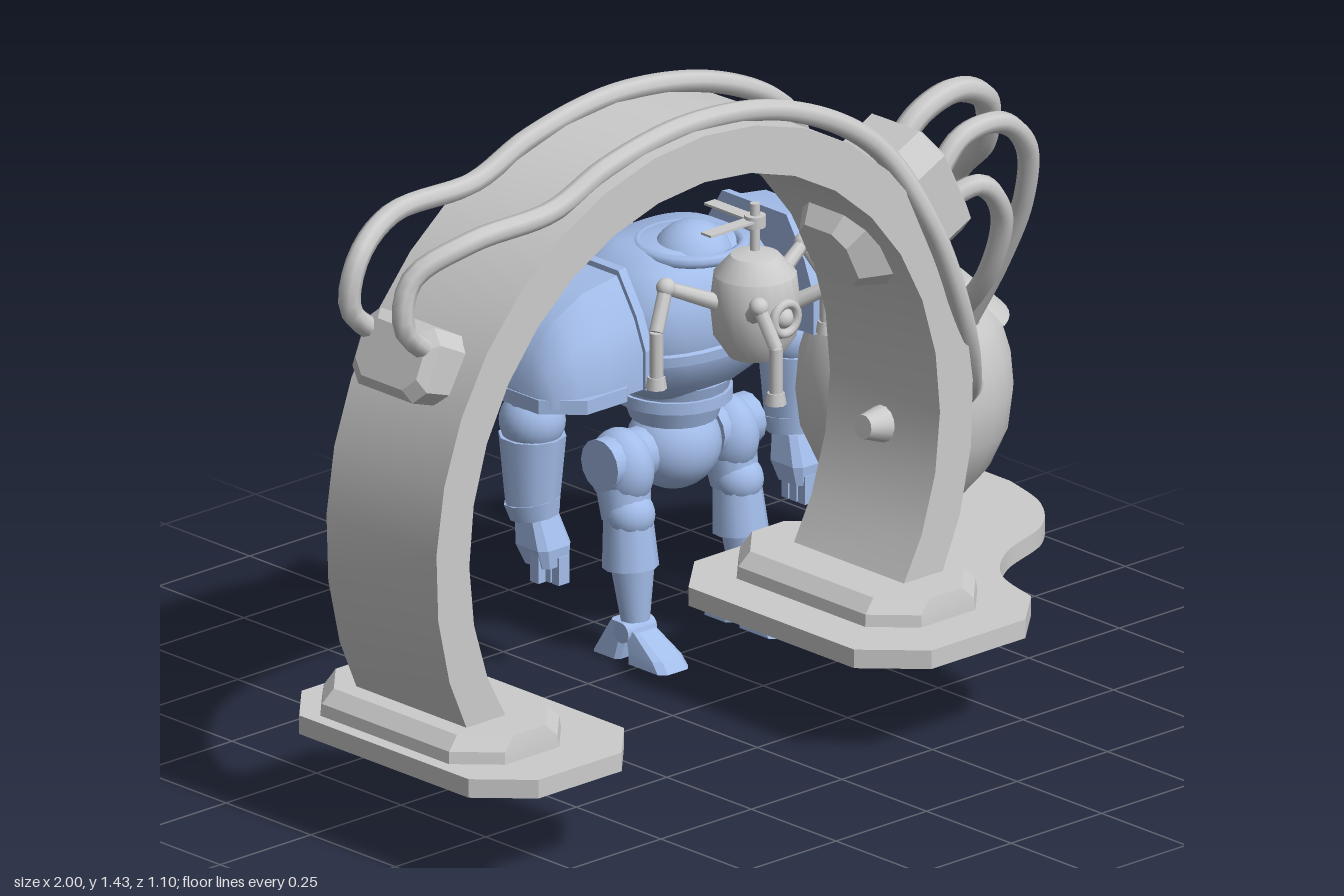
import * as THREE from 'three';
import { toCreasedNormals } from 'three/addons/utils/BufferGeometryUtils.js';

const grey = new THREE.MeshStandardMaterial({ color: 0xcccccc, side: THREE.DoubleSide });
const blue = new THREE.MeshStandardMaterial({ color: 0xa3bdea, side: THREE.DoubleSide });
const V = (p) => new THREE.Vector3(...p);

function add(parent, name, geometry, material = grey, pos = [0, 0, 0], scale = [1, 1, 1]) {
  const mesh = new THREE.Mesh(geometry, material);
  mesh.name = name;
  mesh.position.set(...pos);
  mesh.scale.set(...scale);
  parent.add(mesh);
  return mesh;
}

function group(parent, name) {
  const g = new THREE.Group();
  g.name = name;
  parent.add(g);
  return g;
}

// Skin closed rings of points and cap both ends
function loft(rings, crease = 0.3) {
  const n = rings[0].length, index = [];
  for (let r = 0; r < rings.length - 1; r++)
    for (let i = 0; i < n; i++) {
      const a = r * n + i, b = r * n + (i + 1) % n;
      index.push(a, b, b + n, a, b + n, a + n);
    }
  const e = (rings.length - 1) * n;
  for (let i = 1; i < n - 1; i++) index.push(0, i + 1, i, e, e + i, e + i + 1);
  const g = new THREE.BufferGeometry();
  g.setAttribute('position', new THREE.Float32BufferAttribute(rings.flat(2), 3));
  g.setIndex(index);
  return toCreasedNormals(g, crease);
}

// Rectangle with cut corners at height y
function cutRect(w, d, c, y, x = 0, z = 0) {
  return [[c - w, d], [w - c, d], [w, d - c], [w, c - d], [w - c, -d], [c - w, -d], [-w, c - d], [-w, d - c]]
    .map(([px, pz]) => [px + x, y, pz + z]);
}

// Tapered round bar between two points
function bar(parent, name, a, b, r1, r2 = r1, material = grey, sides = 14) {
  const p = V(a), q = V(b), d = q.clone().sub(p);
  const m = add(parent, name, new THREE.CylinderGeometry(r2, r1, d.length(), sides), material);
  m.position.copy(p).add(q).multiplyScalar(0.5);
  m.quaternion.setFromUnitVectors(new THREE.Vector3(0, 1, 0), d.normalize());
  return m;
}

function ball(parent, name, pos, r, material = grey) {
  const s = Array.isArray(r) ? r : [r, r, r];
  return add(parent, name, new THREE.SphereGeometry(1, 24, 16), material, pos, s);
}

function pipe(parent, name, points, r = 0.023) {
  const curve = new THREE.CatmullRomCurve3(points.map(V));
  return add(parent, name, new THREE.TubeGeometry(curve, points.length * 6, r, 8));
}

const latheRaw = (pts, n) => new THREE.LatheGeometry(pts.map((p) => new THREE.Vector2(...p)), n);

function buildArch(root) {
  const g = group(root, 'arch');
  const cx = -0.225, cy = 0.64, N = 22;
  const shape = new THREE.Shape();
  // Both edges start and end on the same level
  for (let k = 0; k < 2 * N + 2; k++) {
    const outer = k <= N, t = outer ? k / N : (2 * N + 1 - k) / N;
    const lo = outer ? -0.508 : -0.595, a = lo + (Math.PI - 2 * lo) * t;
    const x = cx + (outer ? 0.742 : 0.65) * Math.cos(a), y = cy + (outer ? 0.76 : 0.66) * Math.sin(a);
    k ? shape.lineTo(x, y) : shape.moveTo(x, y);
  }
  const band = new THREE.ExtrudeGeometry(shape, { depth: 0.325, bevelEnabled: false });
  add(g, 'archBand', toCreasedNormals(band, 0.4), grey, [0, 0, 0.01]);

  // Fittings that point along a radius of the arch
  const at = (a, r) => [cx + r * Math.cos(a), cy + r * Math.sin(a), 0.17];
  for (const a of [-0.11, Math.PI + 0.11])
    bar(g, 'innerKnob', at(a, 0.66), at(a, 0.595), 0.042, 0.025);
  bar(g, 'topLamp', at(Math.PI / 2, 0.67), at(Math.PI / 2, 0.6), 0.12, 0.06, grey, 8);
  bar(g, 'leftLamp', [-0.79, 1.02, 0.17], [-0.7, 1.04, 0.17], 0.06, 0.04);
  const box = add(g, 'leftPipeBox', loft([cutRect(0.07, 0.11, 0.03, -0.1), cutRect(0.08, 0.11, 0.03, 0.04),
    cutRect(0.06, 0.09, 0.03, 0.06)]), grey, [-0.885, 1.045, 0.17]);
  box.rotation.z = 2.75 - Math.PI / 2;
  const pod = add(g, 'rightPipePod', loft([cutRect(0.07, 0.07, 0.03, -0.18), cutRect(0.135, 0.12, 0.05, -0.08),
    cutRect(0.135, 0.12, 0.05, 0.09), cutRect(0.115, 0.1, 0.045, 0.105)]), grey, [0.43, 1.05, 0.175]);
  pod.rotation.z = 0.45 - Math.PI / 2;
}

// Flat plate from an outline in x and -z, with a slot under the arch foot
function plate(parent, name, shape, slotX) {
  const slot = cutRect(0.12, 0.22, 0.05, 0, slotX, 0.17).map(([x, , z]) => new THREE.Vector2(x, -z));
  shape.holes.push(new THREE.Path(slot));
  const g = new THREE.ExtrudeGeometry(shape, { depth: 0.04, bevelEnabled: false, curveSegments: 16 });
  add(parent, name, toCreasedNormals(g.rotateX(-Math.PI / 2), 0.4), grey, [0, 0.2, 0]);
}

function buildBases(root) {
  const g = group(root, 'bases');
  const left = cutRect(0.215, 0.35, 0.1, 0, -0.77, 0.2).map(([x, , z]) => new THREE.Vector2(x, -z));
  plate(g, 'leftPlate', new THREE.Shape(left), -0.8);
  // Wide plate that wraps under the tank
  const shape = new THREE.Shape();
  shape.moveTo(0.2, -0.55);
  shape.lineTo(0.46, -0.55);
  shape.lineTo(0.56, -0.46);
  shape.splineThru([[0.6, -0.33], [0.7, -0.24], [0.85, -0.18], [0.94, -0.08], [0.98, 0.05]]
    .map((p) => new THREE.Vector2(...p)));
  for (const p of [[0.98, 0.16], [0.9, 0.27], [0.8, 0.29], [0.66, 0.29], [0.55, 0.15], [0.2, 0.15], [0.09, 0.05], [0.09, -0.44]])
    shape.lineTo(...p);
  plate(g, 'rightPlate', shape, 0.35);
  for (const x of [-0.8, 0.35])
    add(g, 'archFoot', loft([cutRect(0.155, 0.27, 0.08, 0.24), cutRect(0.152, 0.268, 0.08, 0.265),
      cutRect(0.125, 0.262, 0.08, 0.293)]), grey, [x, 0, 0.17]);
}

function buildTank(root) {
  const g = group(root, 'tank');
  g.position.set(0.78, 0, -0.15);
  add(g, 'tankBody', toCreasedNormals(latheRaw([[0, 0.24], [0.115, 0.24], [0.175, 0.31], [0.211, 0.39], [0.221, 0.47],
    [0.215, 0.54], [0.192, 0.62], [0.15, 0.675], [0.09, 0.7], [0, 0.71]], 28), 0.5));
  add(g, 'tankLid', new THREE.CylinderGeometry(0.12, 0.205, 0.08, 16, 1, false, 0.5, 2.4), grey, [0.01, 0.66, 0]);
  for (const [x, z] of [[0.04, 0], [-0.03, 0.14], [0.03, 0.14], [-0.08, 0.02]])
    bar(g, 'pipeSocket', [x, 0.62, z], [x, 0.74 - z * 0.55, z], 0.037, 0.034);
  bar(g, 'sideSocket', [-0.03, 0.55, 0.17], [-0.06, 0.55, 0.25], 0.04, 0.036);
}

function buildPipes(root) {
  const g = group(root, 'pipes');
  // Two long pipes over the arch
  const run = [[-0.9, 1.08], [-0.97, 1.15], [-0.95, 1.25], [-0.83, 1.31], [-0.6, 1.32], [-0.45, 1.375], [-0.22, 1.41], [0.05, 1.37]];
  const lane = (z, dz) => run.map(([x, y], i) => [x, y, i > 2 ? z : z + dz]);
  pipe(g, 'backPipe', [...lane(0.055, 0.03), [0.28, 1.25, 0.03], [0.4, 1.08, -0.03], [0.5, 0.93, -0.08], [0.6, 0.8, -0.11], [0.7, 0.68, -0.13]]);
  pipe(g, 'frontPipe', [...lane(0.285, -0.04), [0.28, 1.24, 0.3], [0.4, 1.04, 0.34], [0.5, 0.8, 0.33], [0.59, 0.64, 0.25], [0.66, 0.57, 0.16], [0.74, 0.55, 0.06]]);
  // Short pipes from the pod to the tank
  pipe(g, 'podPipe', [[0.48, 1.12, 0.13], [0.56, 1.19, 0.13], [0.67, 1.21, 0.12], [0.77, 1.16, 0.1], [0.82, 1.04, 0.04], [0.83, 0.95, -0.05], [0.82, 0.82, -0.11], [0.82, 0.68, -0.14]], 0.027);
  pipe(g, 'podPipe', [[0.5, 1.08, 0.23], [0.58, 1.16, 0.23], [0.7, 1.16, 0.22], [0.79, 1.08, 0.2], [0.82, 0.95, 0.16], [0.82, 0.8, 0.09], [0.81, 0.64, 0]]);
  pipe(g, 'podPipe', [[0.5, 1.0, 0.17], [0.58, 1.01, 0.18], [0.66, 1.03, 0.2], [0.73, 0.95, 0.19], [0.75, 0.8, 0.13], [0.75, 0.64, 0]]);
}

function buildDrone(root) {
  const g = group(root, 'drone');
  g.position.set(0.33, 0, -0.11);
  add(g, 'droneBody', toCreasedNormals(latheRaw([[0, 0.66], [0.055, 0.665], [0.085, 0.71], [0.092, 0.78], [0.085, 0.84],
    [0.05, 0.88], [0, 0.892]], 20), 0.6));
  add(g, 'dialRim', new THREE.TorusGeometry(0.032, 0.01, 8, 20), grey, [0, 0.765, 0.09]);
  ball(g, 'dial', [0, 0.765, 0.082], 0.022);
  bar(g, 'rotorMast', [0, 0.88, 0], [0, 0.99, 0], 0.01);
  bar(g, 'rotorHub', [0, 0.94, 0], [0, 0.965, 0], 0.022);
  add(g, 'rotorBlade', new THREE.BoxGeometry(0.13, 0.005, 0.03), grey, [-0.07, 0.955, 0]);
  add(g, 'rotorBlade', new THREE.BoxGeometry(0.03, 0.005, 0.13), grey, [0, 0.955, -0.07]);
  // Four bent arms
  for (const s of [-1, 1])
    for (const [ex, ez, tx, tz] of [[0.13, 0.15, 0.12, 0.19], [0.19, -0.06, 0.235, -0.04]]) {
      const elbow = [s * ex, 0.84, ez], drop = [s * tx, 0.76, tz], tip = [s * tx, 0.65, tz];
      bar(g, 'droneArm', [s * 0.06, 0.78, ez * 0.4], elbow, 0.018, 0.014, grey, 8);
      ball(g, 'droneElbow', elbow, 0.02);
      bar(g, 'droneForearm', elbow, drop, 0.015, 0.015, grey, 8);
      bar(g, 'droneWrist', drop, tip, 0.014, 0.014, grey, 8);
      bar(g, 'droneClaw', [tip[0], 0.64, tz], [tip[0], 0.665, tz], 0.022, 0.018, grey, 8);
    }
}

// Arched shoulder section at distance x
const padRing = (x, w, top, base = 0.63) =>
  [[-0.54, top], [0.54, top], [0.84, top * 0.65 + base * 0.35], [1, top * 0.35 + base * 0.65], [1, base], [-1, base],
    [-1, top * 0.35 + base * 0.65], [-0.84, top * 0.65 + base * 0.35]].map(([z, y]) => [x, y, z * w]);

// Turned body pushed out toward a rounded rectangle
function squareLathe(pts, depth) {
  const geo = latheRaw(pts, 36), p = geo.attributes.position;
  for (let i = 0; i < p.count; i++) {
    const x = p.getX(i), z = p.getZ(i), r = Math.hypot(x, z) || 1;
    const k = (Math.abs(x / r) ** 2.7 + Math.abs(z / r) ** 2.7 || 1) ** (-1 / 2.7);
    p.setXYZ(i, x * k, p.getY(i), z * k * depth);
  }
  return toCreasedNormals(geo, 0.7);
}

function buildRobot(root) {
  const g = group(root, 'robot');
  g.position.set(0.33, 0, -0.35);
  add(g, 'torso', squareLathe([[0, 0.54], [0.11, 0.54], [0.17, 0.585], [0.205, 0.64], [0.218, 0.71], [0.212, 0.77],
    [0.175, 0.83], [0.12, 0.86], [0, 0.865]], 0.82), blue);
  add(g, 'chestBand', squareLathe([[0.2, 0.645], [0.215, 0.648], [0.218, 0.67], [0.2, 0.675]], 0.84), blue);
  const collar = add(g, 'collar', new THREE.TorusGeometry(0.108, 0.014, 8, 24), blue, [0, 0.85, 0.05]);
  collar.rotation.x = Math.PI / 2;
  ball(g, 'headDome', [0, 0.81, 0.055], [0.088, 0.092, 0.088], blue);
  bar(g, 'exhaust', [0, 0.74, -0.08], [0, 0.82, -0.18], 0.046, 0.04, blue);
  bar(g, 'waist', [0, 0.47, 0], [0, 0.56, 0], 0.09, 0.12, blue, 20);
  bar(g, 'belt', [0, 0.51, 0], [0, 0.535, 0], 0.12, 0.12, blue, 20);
  ball(g, 'pelvis', [0, 0.41, 0], [0.1, 0.095, 0.095], blue);

  for (const s of [-1, 1]) {
    const side = group(g, s > 0 ? 'leftLimbs' : 'rightLimbs');
    side.scale.x = s;
    // Shoulder guard with raised rims
    add(side, 'shoulderGuard', loft([padRing(0.225, 0.168, 0.857), padRing(0.34, 0.17, 0.84),
      padRing(0.41, 0.16, 0.8), padRing(0.455, 0.132, 0.74), padRing(0.472, 0.1, 0.68)], 0.7), blue);
    add(side, 'shoulderRim', loft([padRing(0.222, 0.176, 0.868), padRing(0.242, 0.176, 0.866)]), blue);
    add(side, 'lowerRim', loft([cutRect(0.125, 0.178, 0.07, 0.62, 0.35), cutRect(0.125, 0.178, 0.07, 0.65, 0.35)]), blue);
    // Arm
    bar(side, 'upperArm', [0.35, 0.65, -0.03], [0.355, 0.55, -0.035], 0.065, 0.055, blue);
    ball(side, 'elbow', [0.358, 0.54, -0.035], 0.068, blue);
    bar(side, 'forearm', [0.358, 0.51, -0.035], [0.358, 0.36, -0.035], 0.07, 0.056, blue, 10);
    bar(side, 'cuff', [0.358, 0.37, -0.035], [0.355, 0.335, -0.03], 0.06, 0.052, blue, 10);
    add(side, 'hand', loft([cutRect(0.036, 0.036, 0.01, 0.24, 0.35, 0), cutRect(0.045, 0.048, 0.015, 0.28, 0.352, -0.01),
      cutRect(0.037, 0.037, 0.012, 0.34, 0.355, -0.025)]), blue);
    for (const z of [-0.02, 0.005, 0.03])
      add(side, 'finger', new THREE.BoxGeometry(0.03, 0.06, 0.02), blue, [0.34, 0.23, z]);
    add(side, 'thumb', new THREE.BoxGeometry(0.02, 0.07, 0.025), blue, [0.385, 0.245, 0.01]);
    // Leg
    bar(side, 'hipJoint', [0.09, 0.41, 0], [0.205, 0.41, 0], 0.055, 0.055, blue);
    ball(side, 'thigh', [0.145, 0.39, 0], [0.06, 0.085, 0.075], blue);
    bar(side, 'upperLeg', [0.145, 0.4, 0], [0.15, 0.29, 0.02], 0.06, 0.05, blue);
    ball(side, 'knee', [0.15, 0.3, 0.03], 0.052, blue);
    bar(side, 'shinGuard', [0.15, 0.3, 0.025], [0.152, 0.19, 0.035], 0.05, 0.058, blue, 10);
    bar(side, 'shin', [0.152, 0.2, 0.04], [0.153, 0.08, 0.05], 0.046, 0.03, blue);
    bar(side, 'ankle', [0.113, 0.06, 0.05], [0.193, 0.06, 0.05], 0.022, 0.022, blue);
    add(side, 'heel', loft([cutRect(0.042, 0.04, 0.01, 0, 0.153, 0.002), cutRect(0.036, 0.025, 0.01, 0.08, 0.153, 0.035)]), blue);
    add(side, 'toe', loft([cutRect(0.042, 0.058, 0.015, 0, 0.153, 0.118), cutRect(0.04, 0.05, 0.015, 0.022, 0.153, 0.108),
      cutRect(0.03, 0.02, 0.008, 0.065, 0.153, 0.065)]), blue);
  }
}

export function createModel() {
  const root = new THREE.Group();
  root.name = 'workshopArch';
  for (const build of [buildArch, buildBases, buildTank, buildPipes, buildDrone, buildRobot]) build(root);
  return root;
}
